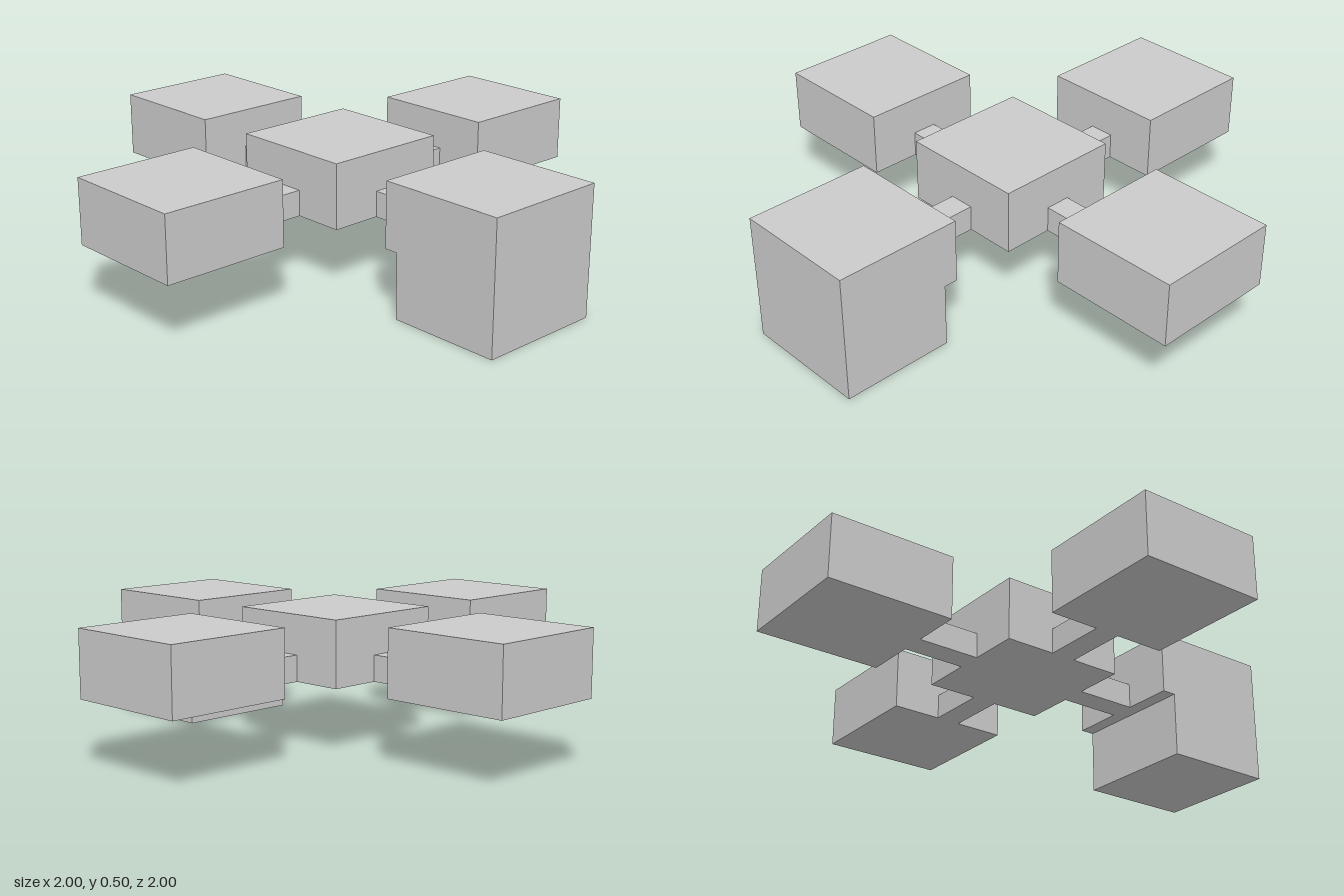
import * as THREE from 'three';

export function createModel() {
  const model = new THREE.Group();
  const material = new THREE.MeshStandardMaterial({ color: 0xcccccc, flatShading: true });

  const add = (name, geometry, x = 0, y = 0, z = 0) => {
    const mesh = new THREE.Mesh(geometry, material);
    mesh.name = name;
    mesh.position.set(x, y, z);
    model.add(mesh);
  };

  // Central block and the three plain outer blocks
  const block = new THREE.BoxGeometry(0.5, 0.25, 0.5);
  add('centerBlock', block, 0, 0.375, 0);
  add('leftBlock', block, 0.75, 0.375, 0);
  add('rightBlock', block, -0.75, 0.375, 0);
  add('backBlock', block, 0, 0.375, -0.75);

  // Taller front block with a stepped inner side, profile drawn in (z, y)
  const profile = new THREE.Shape(
    [[0.555, 0], [1, 0], [1, 0.5], [0.5, 0.5], [0.5, 0.25], [0.555, 0.25]]
      .map(([z, y]) => new THREE.Vector2(z, y))
  );
  const front = new THREE.ExtrudeGeometry(profile, { depth: 0.5, bevelEnabled: false });
  front.translate(0, 0, -0.25).rotateY(-Math.PI / 2);
  add('frontBlock', front);

  // Thin bars joining the outer blocks to the centre
  const barX = new THREE.BoxGeometry(0.25, 0.1, 0.1);
  const barZ = new THREE.BoxGeometry(0.1, 0.1, 0.25);
  add('leftBar', barX, 0.375, 0.3, 0);
  add('rightBar', barX, -0.375, 0.3, 0);
  add('frontBar', barZ, 0, 0.3, 0.375);
  add('backBar', barZ, 0, 0.3, -0.375);

  return model;
}
